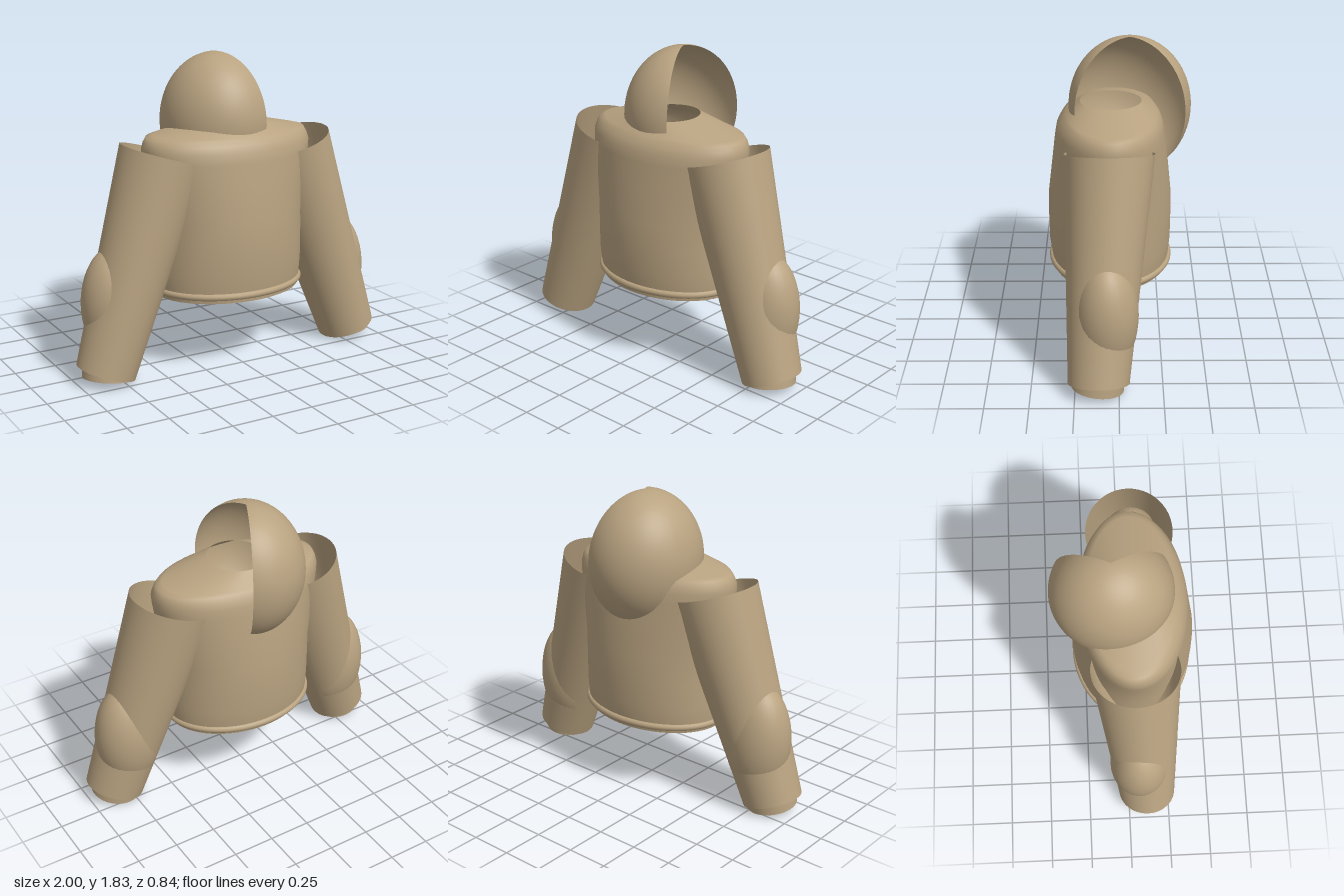
import * as THREE from 'three';

const cloth = new THREE.MeshStandardMaterial({ color: 0xb8a280, side: THREE.DoubleSide });
cloth.name = 'tan cloth';

// Open smooth skin through elliptical rings listed from bottom to top.
// Ring: centre x, y, z, half-axis ux, uy, half-depth rz
function loft(rings, sides = 64) {
  const pos = [], index = [];
  rings.forEach(([x, y, z, ux, uy, rz], r) => {
    for (let i = 0; i < sides; i++) {
      const a = (i / sides) * Math.PI * 2;
      pos.push(x + ux * Math.sin(a), y + uy * Math.sin(a), z + rz * Math.cos(a));
      if (r === 0) continue;
      const j = (i + 1) % sides, lo = (r - 1) * sides, hi = r * sides;
      index.push(lo + i, lo + j, hi + j, lo + i, hi + j, hi + i);
    }
  });
  const geo = new THREE.BufferGeometry();
  geo.setAttribute('position', new THREE.Float32BufferAttribute(pos, 3));
  geo.setIndex(index);
  geo.computeVertexNormals();
  return geo;
}

function add(parent, name, geo) {
  const mesh = new THREE.Mesh(geo, cloth);
  mesh.name = name;
  parent.add(mesh);
  return mesh;
}

export function createModel() {
  const model = new THREE.Group();
  model.name = 'hoodedJacket';

  // Body: height, half-width, front z, back z; ends at the neck hole
  const body = [
    [0.44, 0.45, 0.395, -0.29],
    [0.5, 0.462, 0.4, -0.3],
    [0.6, 0.466, 0.415, -0.31],
    [0.75, 0.466, 0.417, -0.312],
    [0.9, 0.468, 0.414, -0.31],
    [1.1, 0.5, 0.39, -0.29],
    [1.25, 0.528, 0.372, -0.272],
    [1.31, 0.535, 0.362, -0.263],
    [1.35, 0.524, 0.34, -0.25],
    [1.38, 0.508, 0.315, -0.228],
    [1.39, 0.47, 0.3, -0.21],
    [1.455, 0.17, 0.225, -0.135],
  ];
  add(model, 'body', loft(body.map(([y, rx, f, b]) => [0, y, (f + b) / 2, rx, 0, (f - b) / 2])));

  // Rolled hem
  const hemPath = new THREE.CatmullRomCurve3(
    Array.from({ length: 32 }, (_, i) => {
      const a = (i / 32) * Math.PI * 2;
      return new THREE.Vector3(0.455 * Math.sin(a), 0.48, 0.05 + 0.347 * Math.cos(a));
    }), true);
  add(model, 'hem', new THREE.TubeGeometry(hemPath, 96, 0.021, 10, true));

  // Hood: egg-shaped shell with a wedge open on one side
  const hood = add(model, 'hood',
    new THREE.SphereGeometry(1, 48, 32, Math.PI * 1.35, Math.PI * 1.3, 0, Math.PI * 0.8));
  hood.scale.set(0.335, 0.405, 0.355);
  hood.position.set(0, 1.43, -0.065);

  for (const side of [1, -1]) {
    const arm = new THREE.Group();
    arm.name = side > 0 ? 'leftArm' : 'rightArm';
    model.add(arm);

    // Open round sleeve, widening into the shoulder
    add(arm, 'sleeve', loft([
      [0.833 * side, 0.065, 0.115, 0.167, 0.055 * side, 0.175],
      [0.42 * side, 1.289, 0.052, 0.244, 0.072 * side, 0.255],
    ], 48));

    // Elbow padding bulging through the sleeve
    const elbow = add(arm, 'elbowPad', new THREE.SphereGeometry(1, 32, 24));
    elbow.scale.set(0.2, 0.342, 0.18);
    elbow.position.set(0.745 * side, 0.45, 0.07);

    // Closed cuff inside the sleeve end
    const cuffGeo = new THREE.CylinderGeometry(0.15, 0.15, 0.12, 40);
    cuffGeo.translate(0, 0.06, 0);
    const cuff = add(arm, 'cuff', cuffGeo);
    cuff.quaternion.setFromUnitVectors(
      new THREE.Vector3(0, 1, 0), new THREE.Vector3(-0.13 * side, 1, -0.11).normalize());
    cuff.position.set(0.825 * side, 0.03, 0.122);
  }
  return model;
}
